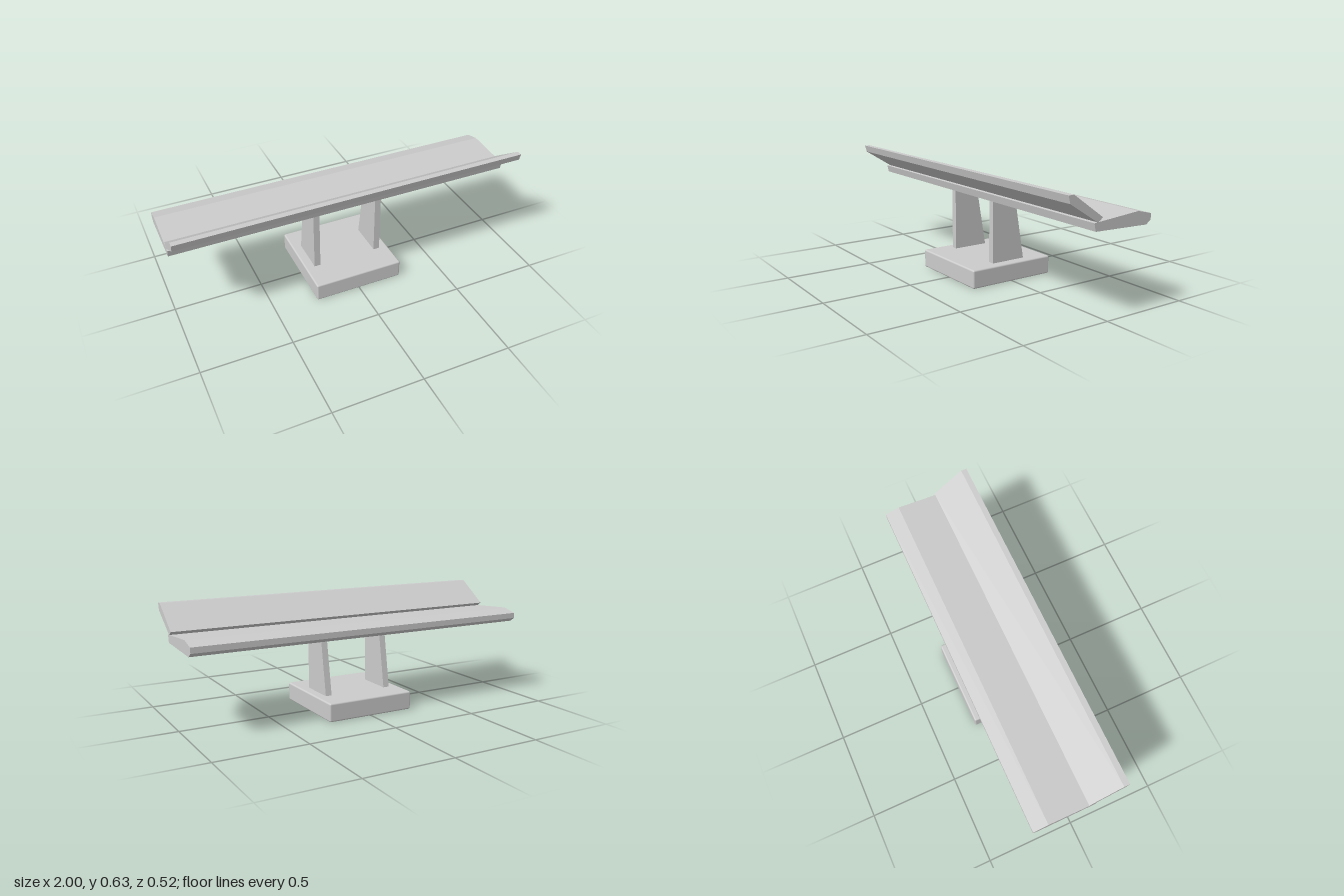
import * as THREE from 'three';
import { RoundedBoxGeometry } from 'three/addons/geometries/RoundedBoxGeometry.js';

const material = new THREE.MeshStandardMaterial({ color: 0xcccccc });

// Extrudes a side profile of [z, y] points along x, centred on x = 0
function profileAlongX(points, width) {
  const shape = new THREE.Shape(points.map(([z, y]) => new THREE.Vector2(z, y)));
  const geometry = new THREE.ExtrudeGeometry(shape, { depth: width, bevelEnabled: false });
  geometry.translate(0, 0, -width / 2);
  geometry.rotateY(-Math.PI / 2);
  return geometry;
}

export function createModel() {
  const model = new THREE.Group();
  model.name = 'wingOnStand';

  function add(name, geometry, x = 0, y = 0) {
    const mesh = new THREE.Mesh(geometry, material);
    mesh.name = name;
    mesh.position.set(x, y, 0);
    model.add(mesh);
  }

  // Softly rounded base block
  add('base', new RoundedBoxGeometry(0.515, 0.103, 0.517, 3, 0.009), 0, 0.0515);

  // Two tapered uprights, sunk slightly into the base and the wing
  const upright = profileAlongX(
    [[0.095, 0.09], [0.095, 0.455], [-0.053, 0.455], [-0.114, 0.09]], 0.036);
  add('leftUpright', upright, 0.187);
  add('rightUpright', upright, -0.187);

  // Main wing plank
  add('mainWing', profileAlongX([
    [0.105, 0.489], [0.095, 0.448], [-0.23, 0.437],
    [-0.259, 0.458], [-0.259, 0.489], [-0.175, 0.51],
  ], 2));

  // Raised flap along the front edge
  add('flap', profileAlongX([
    [0.262, 0.634], [0.251, 0.594], [0.083, 0.489], [0.053, 0.51], [0.23, 0.634],
  ], 2));

  return model;
}
